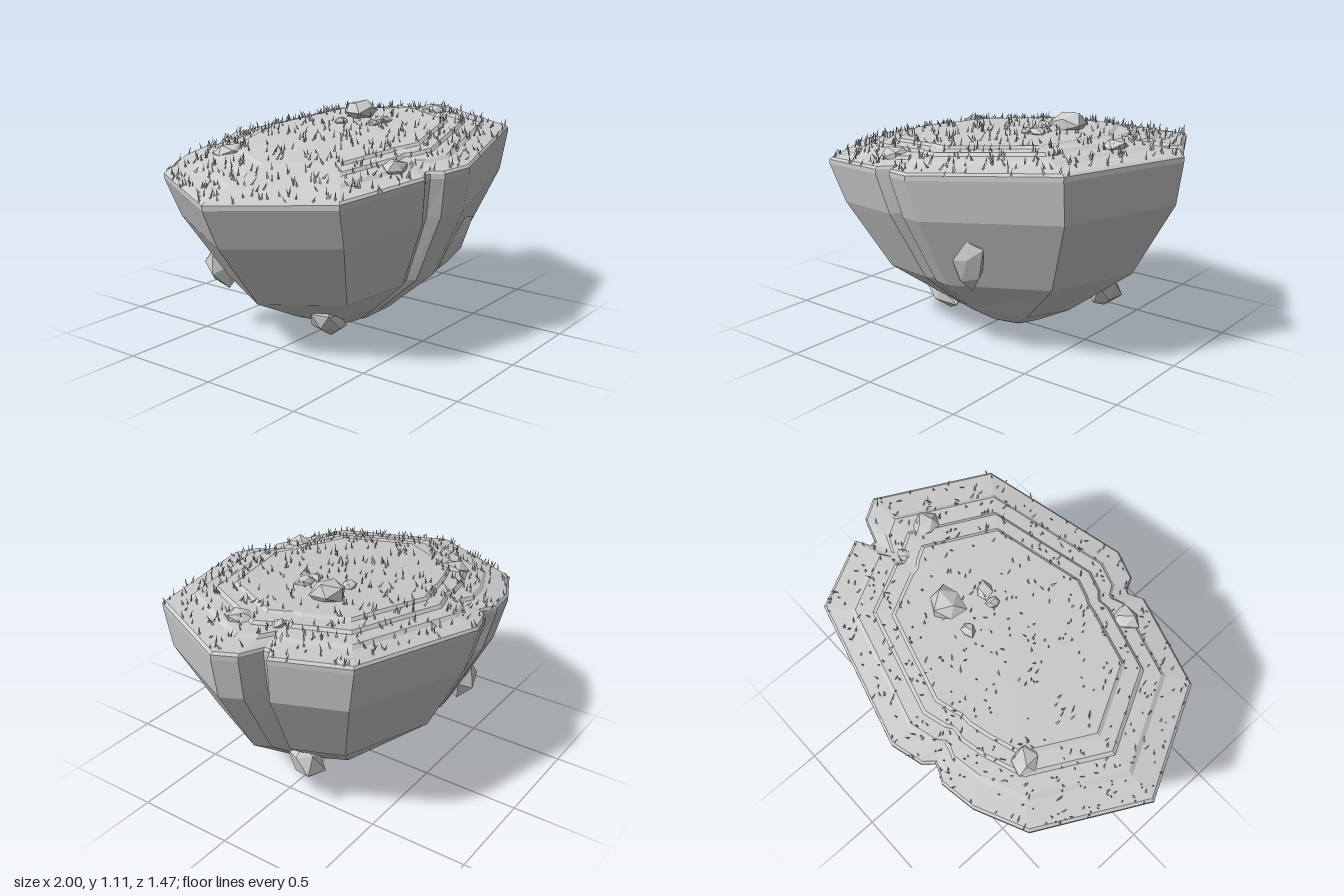
import * as THREE from 'three';
import { mergeGeometries } from 'three/addons/utils/BufferGeometryUtils.js';

// Island outline, counter-clockwise from above: x, z, then x, z with the crevices filled in
const OUTLINE = [
  [1, 0, 1, 0], [0.94, -0.1, 0.95, -0.09], [0.82, -0.14, 0.92, -0.15], [0.82, -0.17, 0.905, -0.18],
  [0.885, -0.21, 0.885, -0.21], [0.72, -0.54, 0.72, -0.54], [0, -0.735, 0, -0.735],
  [-0.16, -0.69, -0.15, -0.69], [-0.2, -0.64, -0.2, -0.68], [-0.23, -0.65, -0.24, -0.67],
  [-0.29, -0.68, -0.3, -0.66], [-0.47, -0.65, -0.47, -0.61], [-0.72, -0.53, -0.72, -0.53],
  [-1, 0, -1, 0], [-0.72, 0.53, -0.72, 0.53], [-0.26, 0.66, -0.26, 0.65],
  [-0.19, 0.62, -0.2, 0.67], [-0.17, 0.63, -0.18, 0.68], [-0.14, 0.69, -0.14, 0.69],
  [0, 0.735, 0, 0.735], [0.73, 0.54, 0.73, 0.54],
];
const TILT = 0.095;

let seed = 7;
const rand = () => (seed = (seed * 16807) % 2147483647) / 2147483647;

// Point on the outline scaled by s at height h; notch = crevice depth, tilt = slope along x
function outlinePoint(i, { s, h, notch = 1, tilt = TILT, cx = 0 }) {
  const [x, z, fx, fz] = OUTLINE[i % OUTLINE.length];
  const px = s * THREE.MathUtils.lerp(fx, x, notch) + cx;
  const pz = s * THREE.MathUtils.lerp(fz, z, notch);
  return new THREE.Vector3(px, h + tilt * px, pz);
}

// Skin through a list of rings, each going upward or inward from the last
function loft(rings) {
  const pts = [], index = [], n = OUTLINE.length;
  rings.forEach((ring, r) => {
    for (let i = 0; i < n; i++) {
      pts.push(outlinePoint(i, ring));
      if (r === 0) continue;
      const a = (r - 1) * n + i, b = (r - 1) * n + (i + 1) % n;
      if (rings[r - 1].s > 0) index.push(a, b, b + n);
      if (ring.s > 0) index.push(a, b + n, a + n);
      else if (rings[r - 1].s > 0) index.splice(-3, 3, a, b, a + n);
    }
  });
  const geo = new THREE.BufferGeometry().setFromPoints(pts);
  geo.setIndex(index);
  const flat = geo.toNonIndexed();
  flat.computeVertexNormals();
  return flat;
}

// Rings of the rocky underside, bottom to rim
const CLIFF = [
  { s: 0, h: 0.003, tilt: 0, cx: 0.06 },
  { s: 0.08, h: 0.005, tilt: 0, cx: 0.06, notch: 0.3 },
  { s: 0.18, h: 0.035, tilt: 0, cx: 0.03, notch: 0.6 },
  { s: 0.39, h: 0.135, tilt: 0, cx: 0.01, notch: 0.9 },
  { s: 0.705, h: 0.335, cx: 0.05 },
  { s: 0.94, h: 0.69, cx: 0.03, notch: 1.1 },
  { s: 1, h: 0.89 },
  { s: 1, h: 0.913 },
];

// Rings of the terraced top, rim to centre
const TERRACES = [
  { s: 1, h: 0.913 },
  { s: 0.985, h: 0.925 },
  { s: 0.85, h: 0.943, notch: 0.8 },
  { s: 0.825, h: 0.958, notch: 0.8 },
  { s: 0.73, h: 0.966, notch: 0.5 },
  { s: 0.71, h: 0.98, notch: 0.5 },
  { s: 0.625, h: 0.986, notch: 0.2 },
  { s: 0.605, h: 0.998, notch: 0.2 },
  { s: 0.3, h: 1.004, notch: 0 },
  { s: 0, h: 1.008, notch: 0 },
];

// Terrace ring interpolated at any scale s
function terraceAt(s) {
  const k = Math.max(1, TERRACES.findIndex((t) => t.s <= s));
  const a = TERRACES[k - 1], b = TERRACES[k];
  const t = (s - a.s) / (b.s - a.s);
  const mix = (u, v) => THREE.MathUtils.lerp(u, v, t);
  return { s, h: mix(a.h, b.h), notch: mix(a.notch ?? 1, b.notch ?? 1) };
}

// Angular boulder: an icosahedron with corners pushed in and out
function boulderGeometry(variant) {
  const geo = new THREE.IcosahedronGeometry(1, 0);
  const p = geo.attributes.position, v = new THREE.Vector3();
  for (let i = 0; i < p.count; i++) {
    v.fromBufferAttribute(p, i);
    v.multiplyScalar(1 + 0.16 * Math.sin(v.x * 5 + v.y * 7.3 + v.z * 9.1 + variant * 2));
    p.setXYZ(i, v.x, v.y, v.z);
  }
  geo.computeVertexNormals();
  return geo;
}

// Small upright blades scattered by area, thinner towards the middle
function grassGeometry(count) {
  const blade = new THREE.ConeGeometry(0.007, 0.045, 3).translate(0, 0.018, 0);
  const blades = [], dummy = new THREE.Object3D();
  while (blades.length < count) {
    const i = Math.floor(rand() * OUTLINE.length);
    const [ax, az] = OUTLINE[i], [bx, bz] = OUTLINE[(i + 1) % OUTLINE.length];
    if (rand() > Math.abs(ax * bz - az * bx) / 0.8) continue;
    const s = Math.sqrt(rand());
    if (s < 0.6 && rand() < 0.35) continue;
    const ring = terraceAt(s);
    dummy.position.lerpVectors(outlinePoint(i, ring), outlinePoint(i + 1, ring), rand());
    dummy.rotation.set((rand() - 0.5) * 0.9, rand() * 6.28, (rand() - 0.5) * 0.9);
    dummy.scale.set(1, 0.6 + rand() * 0.6, 0.6);
    dummy.updateMatrix();
    blades.push(blade.clone().applyMatrix4(dummy.matrix));
  }
  return mergeGeometries(blades);
}

export function createModel() {
  const group = new THREE.Group();
  const material = new THREE.MeshStandardMaterial({ color: 0xcccccc, flatShading: true });
  const add = (name, geo) => {
    const mesh = new THREE.Mesh(geo, material);
    mesh.name = name;
    group.add(mesh);
    return mesh;
  };

  add('cliff', loft(CLIFF));
  add('terracedTop', loft(TERRACES));
  add('grass', grassGeometry(620));

  // Boulders lying on the top: x, z, radius, height of centre above the tilted plane
  [
    [0.31, -0.11, 0.095, 1.03], [0.7, 0.09, 0.075, 0.965], [-0.47, -0.33, 0.08, 0.97],
    [-0.28, 0.5, 0.075, 0.95], [0.25, 0.07, 0.05, 1.01], [0.15, -0.12, 0.04, 1.01],
    [0.18, 0.06, 0.035, 1.01], [0.65, -0.09, 0.04, 0.97],
  ].forEach(([x, z, r, h], i) => {
    const rock = add('topBoulder', boulderGeometry(i));
    rock.position.set(x, h + TILT * x, z);
    rock.scale.set(r, r * 0.62, r * 0.9);
    rock.rotation.y = i * 1.3;
  });

  // Rocks jutting out of the cliff: position, half sizes, rotation
  [
    [[0.2, 0.475, 0.53], [0.085, 0.175, 0.055], [0.4, 0, -0.5]],
    [[0.52, 0.235, -0.13], [0.085, 0.115, 0.085], [0.2, 0, -0.5]],
    [[-0.45, 0.33, -0.43], [0.1, 0.11, 0.08], [-0.5, 0.7, 0.3]],
    [[-0.3, 0.125, 0.14], [0.12, 0.07, 0.09], [0, 0.2, -0.5]],
  ].forEach(([pos, size, rot], i) => {
    const rock = add('cliffRock', boulderGeometry(i + 3));
    rock.position.set(...pos);
    rock.scale.set(...size);
    rock.rotation.set(...rot);
  });

  return group;
}
